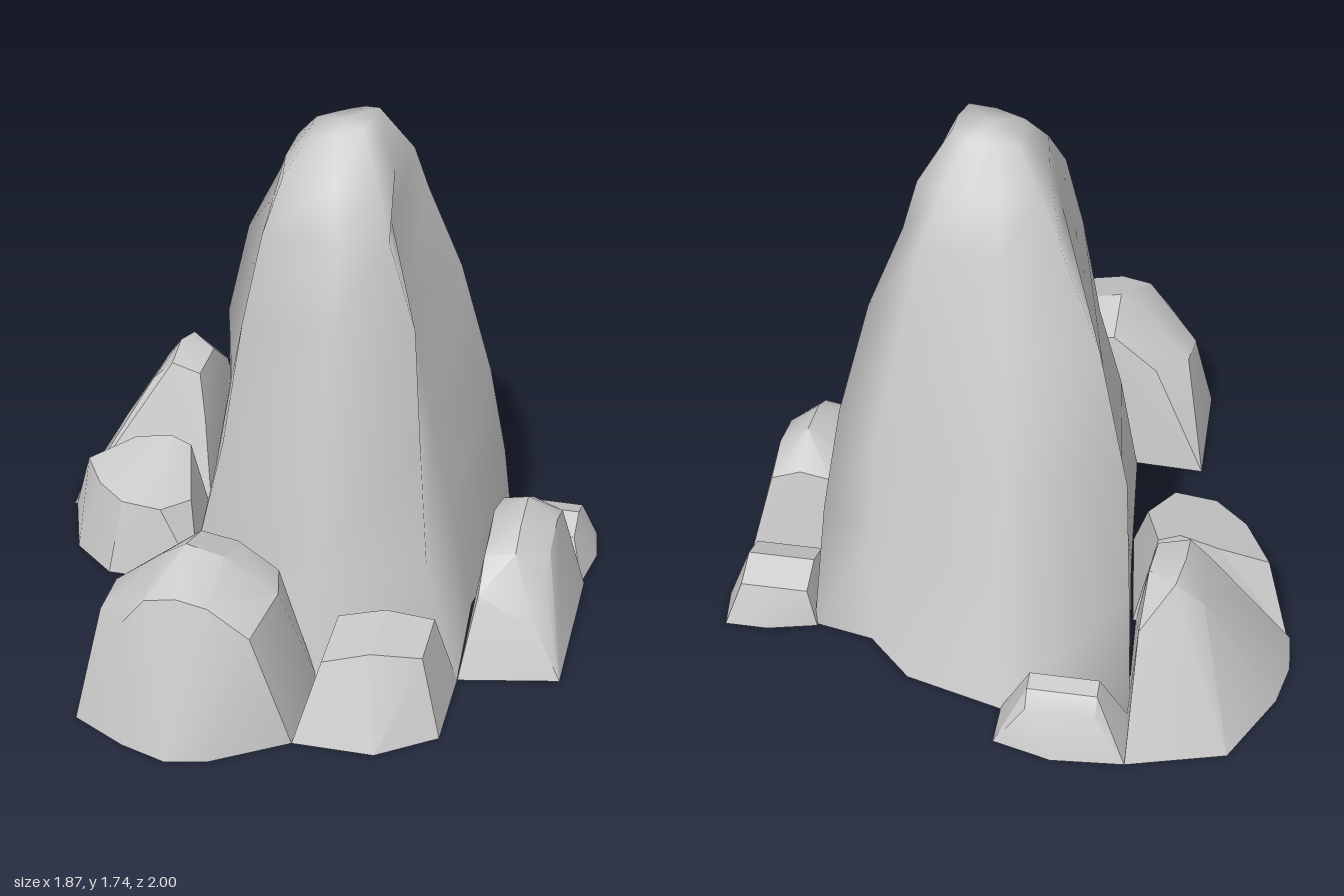
import * as THREE from 'three';
import { toCreasedNormals } from 'three/addons/utils/BufferGeometryUtils.js';
import { ConvexGeometry } from 'three/addons/geometries/ConvexGeometry.js';

const stone = new THREE.MeshStandardMaterial({ color: 0xcccccc, side: THREE.DoubleSide });

// Spire outlines from the ground up, each [x, z] running clockwise from the back-left ridge
const spireLevels = [
  { y: 0, ring: [[-.46, -.79], [-.05, -.81], [.27, -.72], [.42, -.57], [.62, -.53], [.56, -.05], [.59, .39], [.15, .49], [-.32, .44], [-.37, -.08]] },
  { y: .4, ring: [[-.43, -.64], [-.03, -.69], [.23, -.59], [.42, -.48], [.6, -.4], [.48, -.01], [.47, .33], [.14, .43], [-.26, .4], [-.33, -.08]] },
  { y: .75, ring: [[-.4, -.53], [-.03, -.59], [.21, -.53], [.41, -.43], [.55, -.33], [.41, 0], [.43, .26], [.13, .36], [-.19, .33], [-.27, -.08]] },
  { y: 1.15, ring: [[-.29, -.4], [-.01, -.46], [.18, -.43], [.33, -.37], [.45, -.28], [.33, 0], [.39, .19], [.14, .29], [-.14, .26], [-.19, -.08]] },
  { y: 1.43, ring: [[-.15, -.28], [.02, -.35], [.16, -.35], [.27, -.32], [.34, -.25], [.27, 0], [.3, .17], [.15, .21], [-.09, .2], [-.12, -.06]] },
  { y: 1.58, ring: [[-.08, -.23], [.04, -.28], [.13, -.28], [.22, -.27], [.3, -.21], [.27, -.05], [.24, .08], [.12, .13], [-.05, .1], [-.08, -.06]] },
  { y: 1.7, ring: [[0, -.14], [.06, -.16], [.11, -.17], [.15, -.17], [.2, -.14], [.2, -.07], [.18, .01], [.1, .03], [.01, .02], [0, -.06]] },
];

function spireGeometry() {
  const n = spireLevels[0].ring.length, top = spireLevels.length - 1;
  const positions = [], index = [];
  spireLevels.forEach(({ y, ring }, level) => ring.forEach(([x, z]) => {
    // the summit tilts up towards +x
    positions.push(x, level === top ? 1.685 + x * 0.25 : y, z);
  }));
  for (let level = 0; level < top; level++) {
    for (let i = 0; i < n; i++) {
      const a = level * n + i, b = level * n + (i + 1) % n;
      index.push(a, a + n, b, b, a + n, b + n);
    }
  }
  // summit cap
  const centre = positions.length / 3;
  positions.push(.1, 1.72, -.06);
  for (let i = 0; i < n; i++) index.push(top * n + i, centre, top * n + (i + 1) % n);
  const geometry = new THREE.BufferGeometry();
  geometry.setAttribute('position', new THREE.Float32BufferAttribute(positions, 3));
  geometry.setIndex(index);
  geometry.computeVertexNormals();
  return geometry;
}

// Boulder: hull of a ground outline [x, z] and crown points [x, y, z], left open underneath
function boulderGeometry(base, crown) {
  const points = [...base.map(([x, z]) => new THREE.Vector3(x, 0, z)),
    ...crown.map(p => new THREE.Vector3(...p))];
  const p = new ConvexGeometry(points).getAttribute('position');
  const kept = [];
  for (let i = 0; i < p.count; i += 3) {
    if (Math.max(p.getY(i), p.getY(i + 1), p.getY(i + 2)) < 1e-4) continue;
    for (let k = i; k < i + 3; k++) kept.push(p.getX(k), p.getY(k), p.getZ(k));
  }
  const geometry = new THREE.BufferGeometry();
  geometry.setAttribute('position', new THREE.Float32BufferAttribute(kept, 3));
  return toCreasedNormals(geometry, Math.PI / 6);
}

const boulders = {
  frontLargeBoulder: {
    base: [[-.55, .44], [-.54, .85], [-.36, .95], [-.21, 1], [-.08, .97], [.15, .82], [.15, .47]],
    crown: [[-.47, .37, .6], [-.48, .35, .74], [-.37, .4, .86], [-.3, .49, .86], [-.2, .51, .86], [-.1, .49, .86], [.03, .4, .86],
      [-.3, .53, .66], [-.22, .58, .66], [-.1, .55, .66], [.07, .44, .66], [.08, .28, .72],
      [-.37, .39, .49], [-.22, .52, .49], [-.1, .5, .49], [.03, .41, .49]],
  },
  frontSmallBoulder: {
    base: [[.15, .47], [.15, .82], [.41, .82], [.59, .69], [.59, .38]],
    crown: [[.22, .26, .48], [.22, .25, .72], [.37, .3, .47], [.37, .29, .7], [.52, .26, .43], [.52, .25, .63]],
  },
  leftMiddleBoulder: {
    base: [[.59, .38], [.91, .31], [.91, -.26], [.59, -.26]],
    crown: [[.63, .26, .27], [.82, .16, .27], [.63, .35, .17], [.73, .37, .17], [.83, .28, .16],
      [.63, .37, .08], [.73, .42, .08], [.83, .34, .08],
      [.62, .37, -.07], [.73, .44, -.07], [.83, .37, -.07], [.63, .34, -.2], [.73, .36, -.2], [.83, .32, -.2]],
  },
  leftBackBoulder: {
    base: [[.61, -.54], [.77, -.58], [.91, -.58], [.93, -.44], [.9, -.26], [.61, -.26]],
    crown: [-.32, -.42, -.53].flatMap((z, i) => [.64, .86].map(x => [x, i === 1 ? .18 : .14, z])),
  },
  backSmallBoulder: {
    base: [[-.47, -.98], [-.24, -1], [-.05, -.95], [-.05, -.8], [-.47, -.79]],
    crown: [[.15, -.94], [.2, -.9], [.21, -.84]].flatMap(([y, z]) => [-.37, -.15].map(x => [x, y, z])),
  },
  rightBackBoulder: {
    base: [[-.47, -.98], [-.63, -.92], [-.78, -.89], [-.91, -.63], [-.94, -.48], [-.93, -.34], [-.42, -.34], [-.45, -.8]],
    crown: [[-.6, .56, -.62], [-.58, .54, -.72], [-.6, .53, -.5], [-.5, .5, -.5], [-.49, .52, -.65],
      [-.67, .46, -.5], [-.67, .45, -.7], [-.47, .35, -.45], [-.48, .4, -.8], [-.77, .3, -.5]],
  },
  rightFrontBoulder: {
    base: [[-.92, -.34], [-.83, -.08], [-.68, .05], [-.36, .05], [-.41, -.34]],
    crown: [[-.84, .25, -.26], [-.68, .33, -.31], [-.55, .36, -.3], [-.48, .33, -.3],
      [-.75, .26, -.1], [-.64, .26, 0], [-.5, .26, .02], [-.42, .25, -.08]],
  },
};

export function createModel() {
  const model = new THREE.Group();
  model.name = 'rockFormation';
  const add = (name, geometry) => {
    const mesh = new THREE.Mesh(geometry, stone);
    mesh.name = name;
    model.add(mesh);
  };
  add('spire', spireGeometry());
  for (const [name, { base, crown }] of Object.entries(boulders)) add(name, boulderGeometry(base, crown));
  return model;
}
